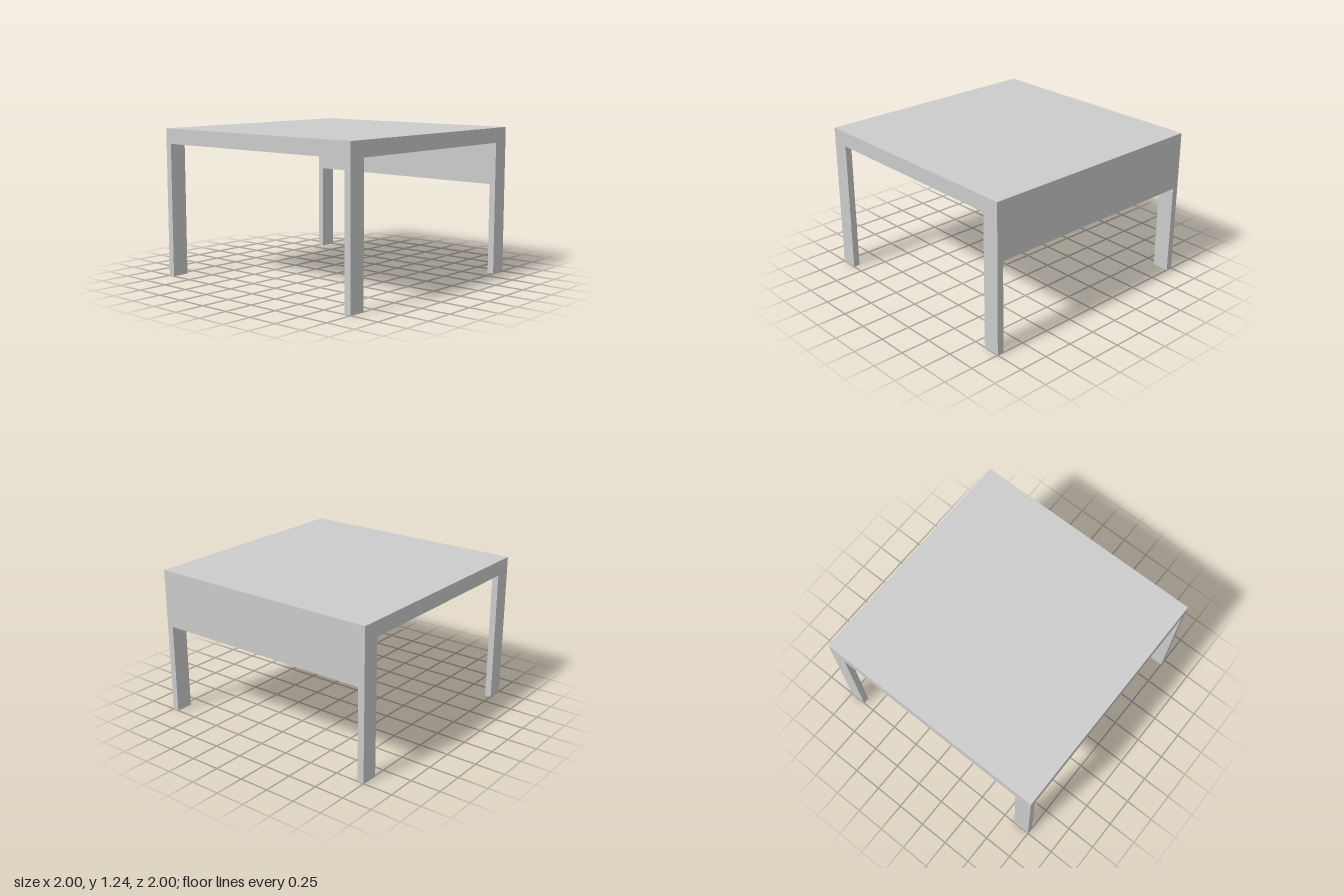
import * as THREE from 'three';

const HEIGHT = 1.235, TOP = 0.125, LEG_W = 0.145, LEG_D = 0.055, PANEL_BOTTOM = 0.76;

export function createModel() {
  const group = new THREE.Group();
  group.name = 'table';
  const material = new THREE.MeshStandardMaterial({ color: 0xcccccc, flatShading: true });

  const addBox = (name, w, h, d, x, y, z) => {
    const mesh = new THREE.Mesh(new THREE.BoxGeometry(w, h, d), material);
    mesh.name = name;
    mesh.position.set(x, y, z);
    group.add(mesh);
  };

  // Square top slab
  const underside = HEIGHT - TOP;
  addBox('tableTop', 2, TOP, 2, 0, HEIGHT - TOP / 2, 0);

  // Four flat legs flush with the corners
  for (const [xName, sx] of [['Left', 1], ['Right', -1]]) {
    for (const [zName, sz] of [['front', 1], ['back', -1]]) {
      addBox(`${zName}${xName}Leg`, LEG_W, underside, LEG_D,
        sx * (1 - LEG_W / 2), underside / 2, sz * (1 - LEG_D / 2));
    }
  }

  // Deep side panel between the legs on the left side only
  addBox('sidePanel', LEG_W, underside - PANEL_BOTTOM, 2 - 2 * LEG_D,
    1 - LEG_W / 2, (underside + PANEL_BOTTOM) / 2, 0);

  return group;
}
